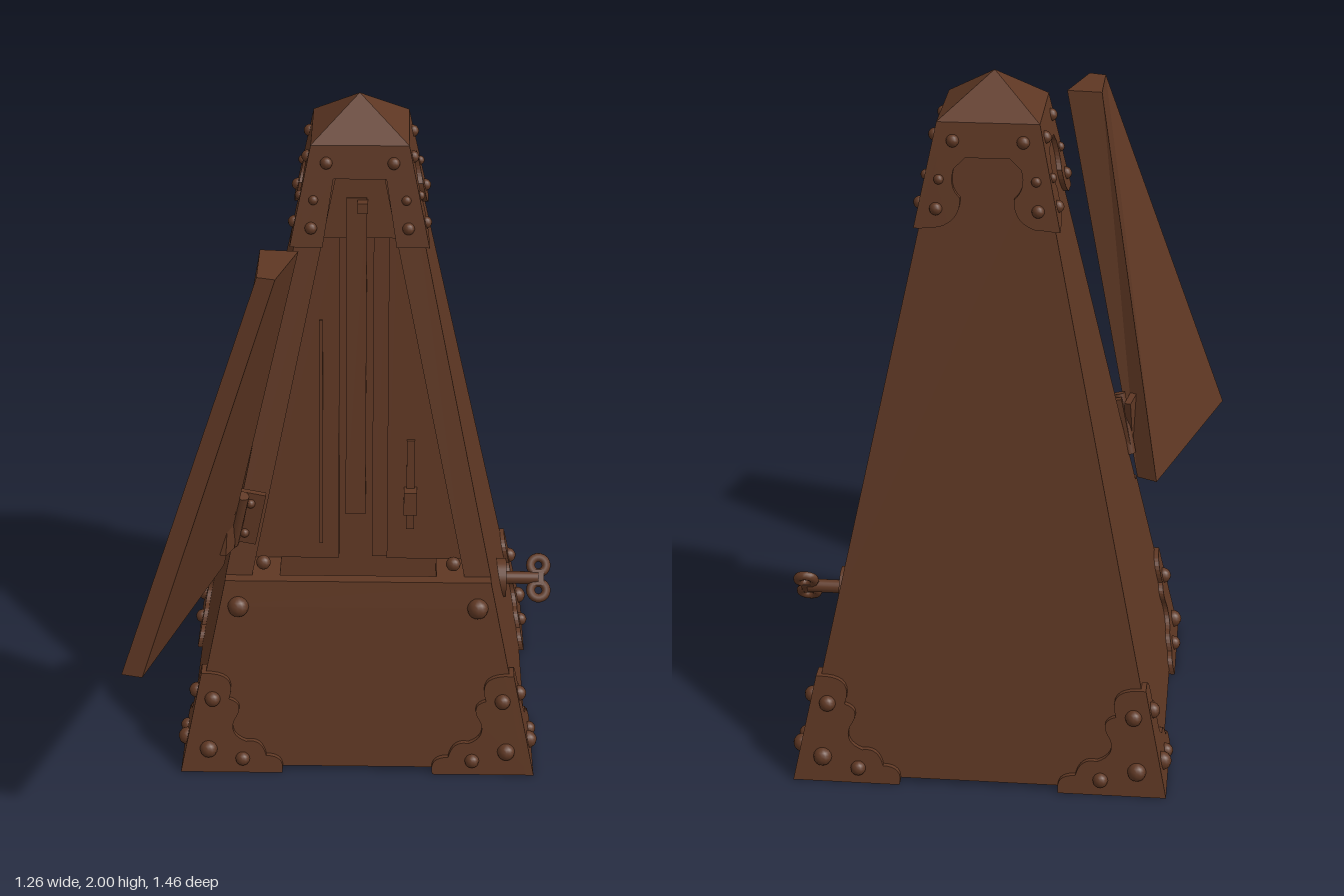
import * as THREE from 'three';

const wood = new THREE.MeshStandardMaterial({ color: 0x5e3723 });
wood.name = 'dark brown wood';

// Tapering body: centre and half sizes at height y
const cx = () => 0.025;
const cz = (y) => -0.205 - 0.015 * y;
const hx = (y) => 0.525 - 0.21 * y;
const hz = (y) => 0.495 - 0.19 * y;
const front = (y) => cz(y) + hz(y);
const back = (y) => cz(y) - hz(y);
const panelZ = (y) => 0.085 - 0.142 * y; // sloping board inside the opening
const innerX = (y) => hx(y) - 0.08;

export function createModel() {
  const model = new THREE.Group();

  const add = (name, geo, parent = model) => {
    const mesh = new THREE.Mesh(geo, wood);
    mesh.name = name;
    parent.add(mesh);
    return mesh;
  };

  // Six-sided block between two quads of [x, z] corners: back-left, back-right, front-left, front-right
  function slab(name, y0, y1, q0, q1, parent) {
    const geo = new THREE.BoxGeometry(1, 1, 1).toNonIndexed();
    const p = geo.attributes.position;
    for (let i = 0; i < p.count; i++) {
      const top = p.getY(i) > 0;
      const c = (top ? q1 : q0)[(p.getX(i) > 0 ? 1 : 0) + (p.getZ(i) > 0 ? 2 : 0)];
      p.setXYZ(i, c[0], top ? y1 : y0, c[1]);
    }
    geo.computeVertexNormals();
    return add(name, geo, parent);
  }
  const rect = (x0, x1, z0, z1) => [[x0, z0], [x1, z0], [x0, z1], [x1, z1]];
  // Block whose four sides follow rules of height
  const loft = (name, y0, y1, f, parent) => slab(name, y0, y1, rect(...f(y0)), rect(...f(y1)), parent);

  // Point on a sloped wall (0 front, 1 right-hand +x, 2 back, 3 -x); edge = -1, 0, 1 measures u from that edge
  function wallPoint(wall, edge, u, y, n) {
    const along = wall % 2 ? hz(y) : hx(y);
    const out = (wall % 2 ? hx(y) : hz(y)) + n;
    const U = edge * along + u;
    const [x, z] = [[U, out], [out, -U], [-U, -out], [-out, U]][wall];
    return new THREE.Vector3(cx(y) + x, y, cz(y) + z);
  }
  // Metal plate cut from a shape and laid on a wall
  function wallPlate(name, shape, wall, edge, n0, n1, parent) {
    const geo = new THREE.ExtrudeGeometry(shape, { depth: n1 - n0, bevelEnabled: false, curveSegments: 8 });
    const p = geo.attributes.position;
    for (let i = 0; i < p.count; i++) {
      const v = wallPoint(wall, edge, p.getX(i), p.getY(i), p.getZ(i) + n0);
      p.setXYZ(i, v.x, v.y, v.z);
    }
    geo.computeVertexNormals();
    return add(name, geo, parent);
  }
  function rivet(wall, edge, u, y, r, n = 0.014, parent = model) {
    add('rivet', new THREE.SphereGeometry(r, 12, 8), parent).position.copy(wallPoint(wall, edge, u, y, n));
  }

  // Lower case and tray
  const full = (y) => [cx() - hx(y), cx() + hx(y), back(y), front(y)];
  loft('lowerCase', 0.015, 0.52, full);
  loft('trayFrontWall', 0.52, 0.6, (y) => [cx() - hx(y), cx() + hx(y), 0.13, front(y)]);
  loft('traySideWallRight', 0.52, 0.6, (y) => [cx() - hx(y), -0.21, panelZ(y), 0.13]);
  loft('traySideWallLeft', 0.52, 0.6, (y) => [0.26, cx() + hx(y), panelZ(y), 0.13]);

  // Upper case: back block, side rails, head
  loft('backCase', 0.52, 1.8, (y) => [cx() - hx(y), cx() + hx(y), back(y), panelZ(y)]);
  for (const s of [-1, 1]) {
    loft('sideRail', 0.6, 1.8, (y) => {
      const e = [cx() + s * innerX(y), cx() + s * hx(y)].sort((a, b) => a - b);
      return [e[0], e[1], panelZ(y) - 0.01, front(y) - 0.035];
    });
    // Raised boards beside the central channel
    loft('scaleBoard', 0.6, 1.6, (y) => {
      const e = [s < 0 ? -0.035 : 0.11, cx() + s * innerX(y)].sort((a, b) => a - b);
      return [e[0], e[1], panelZ(y) - 0.01, panelZ(y) + 0.025];
    });
    rivet(0, 0, s * 0.285, 0.64, 0.022, -0.035);
    rivet(0, 0, s * 0.36, 0.52, 0.032, 0);
  }
  loft('pendulumRod', 0.75, 1.72, (y) => [-0.015, 0.045, panelZ(y) - 0.01, panelZ(y) + 0.04]);
  loft('channelStrip', 0.6, 1.6, (y) => [0.065, 0.11, panelZ(y) - 0.01, panelZ(y) + 0.012]);
  loft('scaleStrip', 0.65, 1.35, (y) => [-0.094, -0.084, panelZ(y), panelZ(y) + 0.032]);
  loft('sliderSlot', 0.7, 0.98, (y) => [0.168, 0.192, panelZ(y), panelZ(y) + 0.035]);
  loft('sliderKnob', 0.76, 0.83, (y) => [0.16, 0.2, panelZ(y), panelZ(y) + 0.065]);
  loft('headPlate', 1.6, 1.8, (y) => [cx() - innerX(y), cx() + innerX(y), panelZ(y) - 0.01, panelZ(y) + 0.035]);
  loft('headCatch', 1.685, 1.715, (y) => [0.018, 0.048, panelZ(y), panelZ(y) + 0.07]);

  // Cap with a pyramid roof
  const cap = new THREE.Group();
  cap.name = 'cap';
  model.add(cap);
  const grown = (y) => [cx() - hx(y) - 0.014, cx() + hx(y) + 0.014, back(y) - 0.014, front(y) + 0.014];
  loft('capBand', 1.8, 1.895, grown, cap);
  const q = rect(...grown(1.895));
  slab('capRoof', 1.895, 2, q, rect(0.02, 0.024, -0.232, -0.228), cap);

  // Cap legs and foot brackets, mirrored onto both edges of every wall
  for (let wall = 0; wall < 4; wall++) {
    for (const s of [-1, 1]) {
      const X = (d) => -s * (d - 0.014); // distance d inward from the edge
      const leg = new THREE.Shape();
      leg.moveTo(X(0), 1.605);
      if (wall === 0) {
        leg.lineTo(X(0.095), 1.605);
        leg.lineTo(X(0.085), 1.8);
      } else {
        leg.lineTo(X(0.07), 1.61);
        leg.quadraticCurveTo(X(0.125), 1.63, X(0.11), 1.69);
        leg.quadraticCurveTo(X(0.07), 1.72, X(0.075), 1.77);
        leg.lineTo(X(0.1), 1.8);
      }
      leg.lineTo(X(0), 1.8);
      wallPlate('capLeg', leg, wall, s, -0.01, 0.014, cap);
      rivet(wall, s, X(0.05), 1.66, 0.018, 0.014, cap);
      rivet(wall, s, X(0.04), 1.74, 0.014, 0.014, cap);
      rivet(wall, s, X(0.055), 1.845, 0.018, 0.014, cap);

      const foot = new THREE.Shape();
      foot.moveTo(X(0), 0);
      foot.lineTo(X(0.31), 0);
      foot.quadraticCurveTo(X(0.31), 0.055, X(0.25), 0.055);
      foot.quadraticCurveTo(X(0.225), 0.11, X(0.18), 0.1);
      foot.quadraticCurveTo(X(0.12), 0.12, X(0.13), 0.17);
      foot.quadraticCurveTo(X(0.155), 0.22, X(0.1), 0.235);
      foot.quadraticCurveTo(X(0.11), 0.31, X(0.03), 0.315);
      foot.lineTo(X(0), 0.315);
      wallPlate('footBracket', foot, wall, s, -0.01, 0.014);
      rivet(wall, s, X(0.07), 0.075, 0.027);
      rivet(wall, s, X(0.05), 0.235, 0.024);
      rivet(wall, s, X(0.18), 0.045, 0.022);
    }
  }

  // Corner pads under the case
  for (const sx of [-1, 1]) for (const sz of [-1, 1]) {
    add('footPad', new THREE.BoxGeometry(0.2, 0.016, 0.2))
      .position.set(cx() + sx * 0.41, 0.009, cz(0) + sz * 0.38);
  }

  // Open door, swung out on its hinge
  slab('door', 0.62, 1.765,
    [[-0.44, 0.08], [-0.38, 0.11], [-0.63, 0.715], [-0.57, 0.73]],
    [[-0.24, 0.36], [-0.135, 0.37], [-0.24, 0.545], [-0.19, 0.56]]);

  // Hinge
  const hinge = new THREE.Group();
  hinge.name = 'hinge';
  hinge.position.set(-0.335, 0.79, 0.13);
  model.add(hinge);
  const pin = add('hingePin', new THREE.CylinderGeometry(0.02, 0.02, 0.19, 12), hinge);
  pin.rotation.set(0.2, 0, -0.2);
  for (const [x, z, ry] of [[0.03, -0.02, 0], [-0.025, 0.03, 1.3]]) {
    const leaf = add('hingeLeaf', new THREE.BoxGeometry(0.08, 0.17, 0.02), hinge);
    leaf.position.set(x, 0, z);
    leaf.rotation.set(0, ry, -0.2);
    for (const y of [-0.05, 0.05])
      add('hingeRivet', new THREE.SphereGeometry(0.014, 10, 8), hinge).position.set(x + y * 0.2, y, z + 0.012);
  }

  // Winding key on the side
  const key = new THREE.Group();
  key.name = 'windingKey';
  key.position.set(0.47, 0.38, -0.235);
  key.rotation.x = -0.65;
  model.add(key);
  const turned = (name, r, len, x) => {
    const m = add(name, new THREE.CylinderGeometry(r, r, len, 20), key);
    m.rotation.z = Math.PI / 2;
    m.position.x = x;
  };
  turned('keyCollar', 0.062, 0.035, 0);
  turned('keyShaft', 0.02, 0.12, 0.06);
  add('keyBridge', new THREE.BoxGeometry(0.035, 0.05, 0.026), key).position.x = 0.12;
  for (const s of [-1, 1]) {
    const ring = add('keyLoop', new THREE.TorusGeometry(0.025, 0.014, 8, 18), key);
    ring.position.set(0.121, s * 0.04, 0);
  }
  return model;
}
